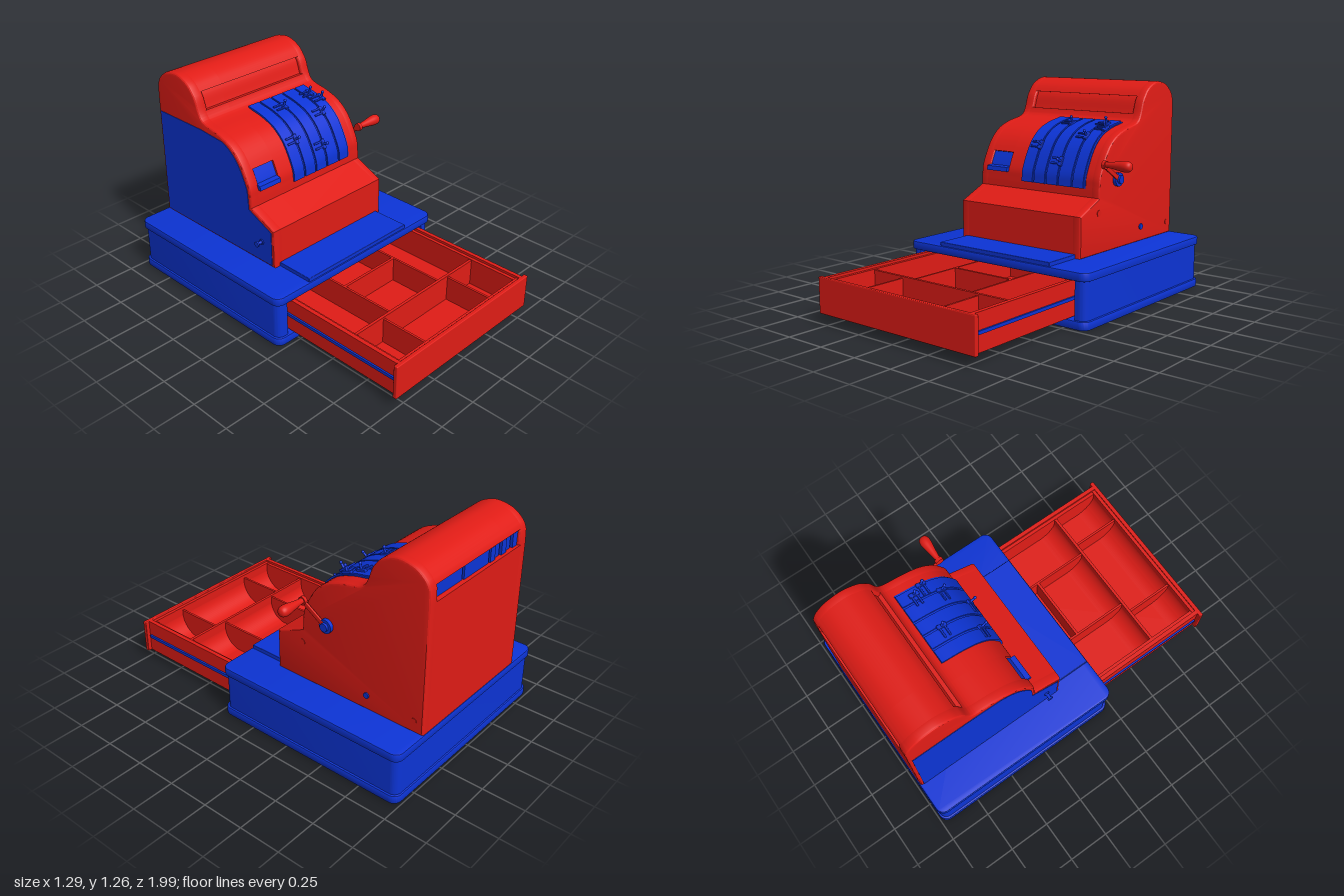
import * as THREE from 'three';
import { toCreasedNormals } from 'three/addons/utils/BufferGeometryUtils.js';
import { RoundedBoxGeometry } from 'three/addons/geometries/RoundedBoxGeometry.js';

const red = new THREE.MeshStandardMaterial({ color: 0xe01c16 });
const blue = new THREE.MeshStandardMaterial({ color: 0x0c34d6 });
const V = (x, y) => new THREE.Vector2(x, y);

export function createModel() {
  const model = new THREE.Group();

  function add(name, geo, mat, parent) {
    const mesh = new THREE.Mesh(geo, mat);
    mesh.name = name;
    parent.add(mesh);
    return mesh;
  }
  function group(name) {
    const g = new THREE.Group();
    g.name = name;
    model.add(g);
    return g;
  }
  // Box from its limits
  function box(name, mat, x0, x1, y0, y1, z0, z1, parent, r = 0) {
    const s = [x1 - x0, y1 - y0, z1 - z0];
    const geo = r ? new RoundedBoxGeometry(...s, 2, r) : new THREE.BoxGeometry(...s);
    geo.translate((x0 + x1) / 2, (y0 + y1) / 2, (z0 + z1) / 2);
    return add(name, geo, mat, parent);
  }
  // Side outline (u = -z, y) extruded across x
  function slab(name, mat, points, x0, x1, b, parent) {
    const shape = points instanceof THREE.Shape ? points : new THREE.Shape(points);
    const geo = new THREE.ExtrudeGeometry(shape, {
      depth: x1 - x0 - 2 * b, bevelEnabled: b > 0, bevelThickness: b,
      bevelSize: b, bevelOffset: -b, bevelSegments: 3, curveSegments: 10,
    });
    geo.translate(0, 0, x0 + b).rotateY(Math.PI / 2);
    return add(name, toCreasedNormals(geo, 0.5), mat, parent);
  }
  // Horizontal outline (x, -z) raised in y
  function plate(name, mat, shape, y0, y1, b, parent) {
    const geo = new THREE.ExtrudeGeometry(shape, {
      depth: y1 - y0 - 2 * b, bevelEnabled: b > 0, bevelThickness: b,
      bevelSize: b, bevelOffset: -b, bevelSegments: 2, curveSegments: 8,
    });
    geo.rotateX(-Math.PI / 2).translate(0, y0 + b, 0);
    return add(name, toCreasedNormals(geo, 0.6), mat, parent);
  }
  // Rounded rectangle in (x, -z), optionally open towards the front
  function roundedRect(w, z0, z1, r, open) {
    const s = new THREE.Shape(), lo = -z1, hi = -z0, P = Math.PI;
    s.absarc(w - r, lo + r, r, -P / 2, 0, false);
    s.absarc(w - r, hi - r, r, 0, P / 2, false);
    s.absarc(-w + r, hi - r, r, P / 2, P, false);
    s.absarc(-w + r, lo + r, r, P, P * 1.5, false);
    if (open) [[-open, lo], [-open, 0.9], [open, 0.9], [open, lo]].forEach(p => s.lineTo(...p));
    s.closePath();
    return s;
  }
  const normalAt = (pts, i) => {
    const t = pts[Math.min(i + 1, pts.length - 1)].clone().sub(pts[Math.max(i - 1, 0)]).normalize();
    return V(-t.y, t.x);
  };
  const offset = (pts, d) => pts.map((p, i) => p.clone().addScaledVector(normalAt(pts, i), d));

  // Cabinet base, open at the front for the drawer
  const base = group('base');
  plate('bottomPlate', blue, roundedRect(0.645, -0.99, 0.23, 0.05), 0, 0.05, 0.008, base);
  plate('baseWalls', blue, roundedRect(0.633, -0.98, 0.218, 0.045, 0.565), 0.045, 0.27, 0, base);
  plate('topPlate', blue, roundedRect(0.645, -0.99, 0.23, 0.05), 0.265, 0.315, 0.008, base);
  box('raisedSill', blue, -0.4, 0.4, 0.31, 0.338, -0.1, 0.222, base, 0.004);

  // Drawer tray
  const drawer = group('drawer');
  box('drawerFloor', red, -0.53, 0.53, 0.058, 0.08, -0.2, 0.98, drawer);
  box('drawerFront', red, -0.56, 0.56, 0.056, 0.261, 0.975, 1, drawer, 0.005);
  box('drawerInnerFront', red, -0.53, 0.53, 0.06, 0.25, 0.955, 0.98, drawer);
  box('drawerBack', red, -0.53, 0.53, 0.06, 0.25, -0.2, -0.18, drawer);
  for (const s of [-1, 1]) {
    const x = (name, mat, a, b, ...rest) => box(name, mat, Math.min(s * a, s * b), Math.max(s * a, s * b), ...rest, drawer);
    x('drawerSide', red, 0.51, 0.535, 0.058, 0.26, -0.2, 0.98);
    x('trayInnerSide', red, 0.49, 0.512, 0.07, 0.245, -0.2, 0.96);
    x('drawerRail', blue, 0.53, 0.545, 0.152, 0.17, -0.2, 0.965);
    x('frontRowDivider', red, 0.267, 0.28, 0.07, 0.23, 0.655, 0.96);
    x('middleRowDivider', red, 0.2, 0.213, 0.07, 0.23, -0.19, 0.65);
  }
  box('rowDivider', red, -0.5, 0.5, 0.07, 0.24, 0.643, 0.66, drawer);
  box('noteDivider', red, -0.205, 0.205, 0.07, 0.23, 0.297, 0.313, drawer);
  // Curved coin scoops at the front of each row
  for (const [z, r] of [[0.956, 0.13], [0.644, 0.12]]) {
    const s = new THREE.Shape();
    s.moveTo(-z, 0.079);
    s.lineTo(-z + r, 0.079);
    s.absarc(-z + r, 0.079 + r, r, -Math.PI / 2, -Math.PI, true);
    s.closePath();
    slab('coinScoop', red, s, -0.495, 0.495, 0, drawer);
  }

  // Side outline of the housing
  const curve = new THREE.SplineCurve([
    V(0.19, 0.63), V(0.193, 0.69), V(0.205, 0.76), V(0.27, 0.885), V(0.35, 0.96), V(0.45, 1.0),
    V(0.55, 1.02), V(0.59, 1.038), V(0.613, 1.075), V(0.635, 1.14), V(0.655, 1.175), V(0.695, 1.22),
    V(0.76, 1.252), V(0.82, 1.258), V(0.9, 1.238), V(0.96, 1.19), V(0.982, 1.145),
  ]).getPoints(80);
  const outline = [V(0.012, 0.31), V(0.012, 0.55), ...curve, V(0.985, 1.07), V(0.985, 0.31)];
  // Push a run of outline points inwards to form a recess
  function notch(pts, test, du, dy) {
    const run = pts.filter(test), i = pts.indexOf(run[0]);
    const inner = run.map(p => V(p.x + du, p.y + dy));
    return [...pts.slice(0, i), run[0], ...inner, run[run.length - 1], ...pts.slice(i + run.length)];
  }
  let windowed = notch(outline, p => p.x < 0.75 && p.y > 1.07 && p.y < 1.178, 0.022, -0.002);
  windowed = notch(windowed, p => p.x > 0.9 && p.y > 1.06 && p.y < 1.165, -0.04, 0);
  const pocketed = notch(windowed, p => p.x < 0.3 && p.y > 0.72 && p.y < 0.86, 0.035, -0.01);

  const housing = group('housing');
  slab('rightEnd', red, outline, -0.44, -0.37, 0.015, housing);
  slab('leftEnd', red, outline, 0.37, 0.435, 0.015, housing);
  slab('pocketSection', red, pocketed, -0.385, -0.225, 0, housing);
  slab('middleSection', red, windowed, -0.225, 0.385, 0, housing);

  // Blue cover on the right side
  const rim = offset(curve.filter(p => p.x < 0.42 && p.y > 0.64 && p.y < 0.995), -0.022);
  slab('sideCover', blue, [V(0.032, 0.325), V(0.032, 0.537), V(0.212, 0.617), ...rim,
    V(0.6, 0.98), V(0.965, 0.98), V(0.965, 0.325)], -0.443, -0.43, 0, housing);

  // Indicator flags in the rear window
  const flags = group('rearIndicator');
  box('widePlate', blue, 0.13, 0.37, 1.06, 1.155, -0.958, -0.93, flags);
  box('secondPlate', blue, -0.1, 0.12, 1.06, 1.155, -0.964, -0.93, flags);
  for (let i = 0; i < 5; i++) {
    const x = -0.155 - i * 0.053;
    box('flag', blue, x, x + 0.043, 1.06, 1.15, -0.968 + (i % 2) * 0.01, -0.93, flags);
  }

  // Curved key panel with slots
  const keys = group('keyPanel');
  const arc = curve.filter(p => p.x < 0.57 && p.y > 0.668 && p.y < 1.024);
  const band = d => [...offset(arc, d), ...offset(arc, -0.015).reverse()];
  slab('slotBed', blue, band(0.003), -0.115, 0.34, 0, keys);
  const edges = [-0.115, -0.03, 0.06, 0.15, 0.25, 0.335];
  for (let i = 0; i < 5; i++)
    slab('keyStrip', blue, band(0.011), edges[i] + (i ? 0.006 : 0), edges[i + 1] - 0.006, 0, keys);

  // Sliding levers: forked pointer and a round-ended stem
  for (const [x, y] of [[-0.03, 0.87], [0.06, 1.0], [0.15, 0.79], [0.25, 0.94], [0.325, 0.985], [0.29, 1.005]]) {
    const i = arc.findIndex(p => p.y >= y), p = arc[i], n = normalAt(arc, i);
    const lever = new THREE.Group();
    lever.name = 'lever';
    lever.position.set(x, p.y, -p.x);
    lever.rotation.x = Math.atan2(-n.x, n.y);
    keys.add(lever);
    const stem = new THREE.CylinderGeometry(0.006, 0.008, 0.045, 10).translate(0, 0.03, 0);
    add('leverStem', stem, blue, lever);
    add('leverTip', new THREE.SphereGeometry(0.009, 12, 8).translate(0, 0.053, 0), blue, lever);
    box('slider', blue, -0.012, 0.012, 0.006, 0.022, -0.03, 0.03, lever, 0.004);
    for (const z of [-0.018, 0.014])
      box('prong', blue, -0.068, 0, 0.01, 0.02, z - 0.006, z + 0.006, lever, 0.003);
  }

  // Small display on the front
  const display = group('smallDisplay');
  const face = curve.filter(p => p.x < 0.3 && p.y > 0.74 && p.y < 0.855);
  slab('displayFace', blue, [...offset(face, -0.008), ...offset(face, -0.05).reverse()], -0.378, -0.228, 0, display);
  slab('displayLip', blue, [V(0.175, 0.722), V(0.18, 0.748), V(0.23, 0.756), V(0.23, 0.722)], -0.38, -0.226, 0, display);

  // Crank with turned handle
  const crank = group('crank');
  const disc = (name, mat, r, x0, x1, y, z, parent) => add(name, toCreasedNormals(
    new THREE.CylinderGeometry(r, r, x1 - x0, 24).rotateZ(Math.PI / 2).translate((x0 + x1) / 2, y, z), 0.6), mat, parent);
  disc('pivotDisc', blue, 0.04, 0.43, 0.456, 0.72, -0.365, crank);
  disc('pivotCap', blue, 0.024, 0.43, 0.47, 0.72, -0.365, crank);
  const arm = box('crankArm', red, -0.006, 0.006, -0.014, 0.014, -0.005, 0.19, crank, 0.004);
  arm.position.set(0.452, 0.72, -0.365);
  arm.rotation.x = -Math.atan2(0.1, 0.155);
  disc('armEnd', red, 0.024, 0.444, 0.464, 0.82, -0.215, crank);
  const grip = [V(0, 0), V(0.016, 0), V(0.016, 0.015), V(0.02, 0.05), V(0.026, 0.09), V(0.031, 0.125),
    V(0.03, 0.15), V(0.02, 0.167), V(0, 0.173)];
  const gripGeo = new THREE.LatheGeometry(new THREE.SplineCurve(grip).getPoints(32).map(p => V(Math.max(p.x, 0), p.y)), 24);
  add('handle', gripGeo.rotateZ(-Math.PI / 2).translate(0.457, 0.822, -0.215), red, crank);

  // Buttons, lock and key on the sides
  const fittings = group('sideFittings');
  disc('sideButton', blue, 0.017, 0.42, 0.443, 0.402, -0.63, fittings);
  disc('rearPlug', red, 0.016, 0.42, 0.438, 0.385, -0.93, fittings);
  disc('lockPlug', red, 0.019, 0.42, 0.438, 0.547, -0.19, fittings);
  disc('keyShaft', blue, 0.01, -0.475, -0.43, 0.45, -0.11, fittings);
  disc('keyCollar', blue, 0.016, -0.45, -0.43, 0.45, -0.11, fittings);
  disc('keyHead', blue, 0.017, -0.485, -0.475, 0.45, -0.11, fittings);

  return model;
}
